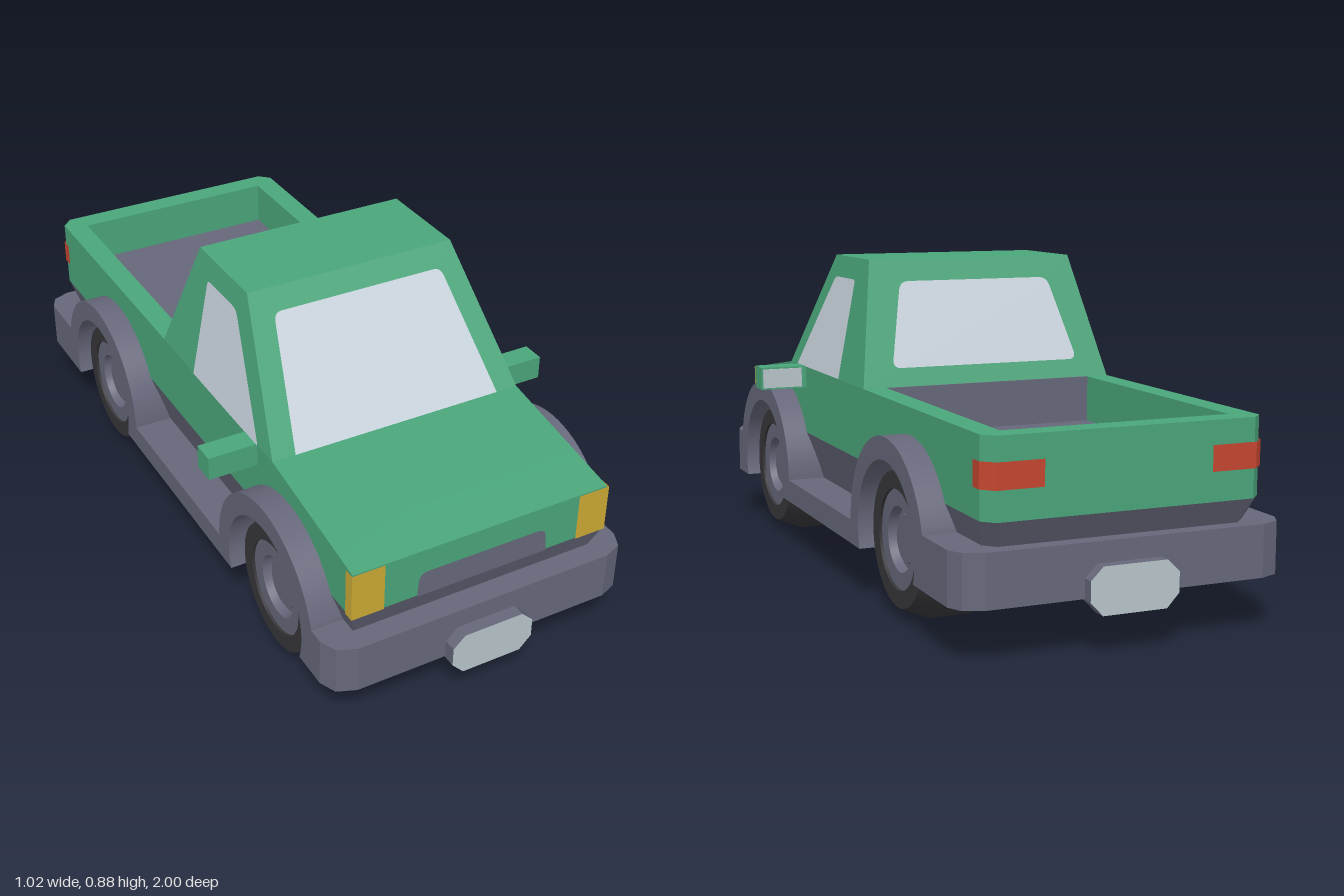
import * as THREE from 'three';
import { toCreasedNormals } from 'three/addons/utils/BufferGeometryUtils.js';

const mat = (name, color, side = THREE.FrontSide) => {
  const m = new THREE.MeshStandardMaterial({ color, side });
  m.name = name;
  return m;
};

// Mirror half a plan outline (x, z), listed front to back on +x
const sym = (half) => [...half, ...half.slice().reverse().map(([x, z]) => [-x, z])];
const rect = (x0, x1, z0, z1) => [[x1, z1], [x1, z0], [x0, z0], [x0, z1]];

function fromTriangles(pos) {
  const g = new THREE.BufferGeometry();
  g.setAttribute('position', new THREE.Float32BufferAttribute(pos, 3));
  g.computeVertexNormals();
  return g;
}

// Solid between two convex plan outlines
function loft(bottom, y0, y1, top = bottom) {
  const B = bottom.map(([x, z]) => [x, y0, z]);
  const T = top.map(([x, z]) => [x, y1, z]);
  const pos = [];
  const tri = (...p) => p.forEach((v) => pos.push(...v));
  B.forEach((b, i) => {
    const j = (i + 1) % B.length;
    tri(b, B[j], T[j]);
    tri(b, T[j], T[i]);
    if (i > 0 && j > 0) {
      tri(T[0], T[i], T[j]);
      tri(B[0], B[j], B[i]);
    }
  });
  return fromTriangles(pos);
}

// Thin painted band that wraps round a corner, just outside the body
function band(points, y0, y1, side) {
  const p = points.map(([x, z]) => [side * x * 1.01, z * 1.004]);
  const pos = [];
  for (let i = 0; i < p.length - 1; i++) {
    const [a, b] = [p[i], p[i + 1]];
    pos.push(a[0], y0, a[1], b[0], y0, b[1], b[0], y1, b[1]);
    pos.push(a[0], y0, a[1], b[0], y1, b[1], a[0], y1, a[1]);
  }
  return fromTriangles(pos);
}

// Side profile (z, y) extruded across x
const across = (shape, x0, x1) => toCreasedNormals(
  new THREE.ExtrudeGeometry(shape, { depth: x1 - x0, bevelEnabled: false, curveSegments: 24 })
    .rotateY(-Math.PI / 2).translate(x1, 0, 0), 0.5);

// Flat pane with rounded corners [u, v, radius], placed by a mapping rule
function pane(corners, place) {
  const shape = new THREE.Shape();
  corners.forEach(([u, v, r], i) => {
    const c = new THREE.Vector2(u, v);
    const toward = (k) => {
      const n = corners[(i + k + corners.length) % corners.length];
      return new THREE.Vector2(n[0], n[1]).sub(c).setLength(r).add(c);
    };
    const a = toward(-1), b = toward(1);
    if (i) shape.lineTo(a.x, a.y); else shape.moveTo(a.x, a.y);
    if (r) shape.quadraticCurveTo(u, v, b.x, b.y);
  });
  const g = new THREE.ShapeGeometry(shape, 5);
  const p = g.attributes.position;
  for (let i = 0; i < p.count; i++) p.setXYZ(i, ...place(p.getX(i), p.getY(i)));
  g.computeVertexNormals();
  return g;
}

export function createModel() {
  const green = mat('green paint', 0x4aa57a);
  const grey = mat('grey trim', 0x66677a);
  const trim = mat('grey panel', 0x66677a, THREE.DoubleSide);
  const tyre = mat('tyre rubber', 0x37373b);
  const glass = mat('glass', 0xc8d2dc, THREE.DoubleSide);
  const silver = mat('pale plate', 0xb8c5cb);
  const yellow = mat('headlight yellow', 0xcba936, THREE.DoubleSide);
  const red = mat('tail light red', 0xc4452f, THREE.DoubleSide);

  const truck = new THREE.Group();
  truck.name = 'pickupTruck';
  const add = (name, geometry, material) => {
    const m = new THREE.Mesh(geometry, material);
    m.name = name;
    truck.add(m);
    return m;
  };

  // Chassis, bumpers and tapered lower body
  add('chassis', loft(rect(-0.34, 0.34, -0.76, 0.86), 0.14, 0.205), grey);
  add('frontBumper', loft(sym([[0.37, 0.965], [0.42, 0.945], [0.44, 0.9], [0.44, 0.856]]), 0.14, 0.275), grey);
  add('rearBumper', loft(sym([[0.44, -0.756], [0.44, -0.91], [0.42, -0.95], [0.37, -0.97]]), 0.14, 0.275), grey);
  add('lowerBody', loft(
    sym([[0.33, 0.875], [0.33, -0.86], [0.3, -0.89]]), 0.205, 0.34,
    sym([[0.37, 0.93], [0.37, -0.935], [0.34, -0.965]])), grey);

  // Sills with wheel arches
  const R = 0.265, r = 0.205, up = 0.267, low = 0.3226, PI = Math.PI;
  const sill = new THREE.Shape();
  sill.moveTo(0.856, 0.14).lineTo(0.856, 0.275);
  sill.absarc(0.6, r, R, up, PI, false);
  sill.absarc(-0.5, r, R, 0, PI - up, false);
  sill.lineTo(-0.756, 0.14);
  sill.absarc(-0.5, r, r, PI + low, -low, true);
  sill.absarc(0.6, r, r, PI + low, -low, true);
  add('leftSill', across(sill, 0.33, 0.44), grey);
  add('rightSill', across(sill, -0.44, -0.33), grey);

  // Hood and door section
  const hood = new THREE.Shape([[0.93, 0.34], [0.93, 0.475], [0.52, 0.54], [-0.15, 0.54], [-0.15, 0.34]]
    .map(([z, y]) => new THREE.Vector2(z, y)));
  add('hoodAndDoors', across(hood, -0.37, 0.37), green);

  // Cab
  add('cab', loft(rect(-0.37, 0.37, -0.15, 0.52), 0.54, 0.88, rect(-0.305, 0.305, -0.02, 0.26)), green);
  const t = (y) => (y - 0.54) / 0.34;
  add('windshield', pane([[-0.305, 0.542, 0], [0.305, 0.542, 0], [0.25, 0.83, 0.02], [-0.25, 0.83, 0.02]],
    (x, y) => [x, y, 0.524 - 0.26 * t(y)]), glass);
  add('rearWindow', pane([[-0.28, 0.59, 0.025], [0.28, 0.59, 0.025], [0.225, 0.82, 0.025], [-0.225, 0.82, 0.025]],
    (x, y) => [x, y, -0.154 + 0.13 * t(y)]), glass);

  // Cargo bed
  add('bedFloor', loft(rect(-0.305, 0.305, -0.9, -0.15), 0.34, 0.413), grey);
  add('bedFrontPanel', loft(rect(-0.305, 0.305, -0.156, -0.15), 0.41, 0.54), grey);
  add('tailgate', loft(sym([[0.37, -0.9], [0.37, -0.935], [0.34, -0.965]]), 0.34, 0.54), green);

  // Grille
  add('grille', pane([[-0.19, 0.34, 0], [0.19, 0.34, 0], [0.185, 0.41, 0.025], [-0.185, 0.41, 0.025]],
    (x, y) => [x, y, 0.934]), trim);

  // Parts on both sides
  for (const s of [1, -1]) {
    const name = s > 0 ? 'left' : 'right';
    const xs = (a, b) => (s > 0 ? [a, b] : [-b, -a]);
    add(name + 'BedWall', loft(rect(...xs(0.305, 0.37), -0.9, -0.15), 0.34, 0.54), green);
    add(name + 'DoorWindow', pane([[0.445, 0.542, 0.01], [0.225, 0.82, 0.02], [0.055, 0.82, 0.015], [0.055, 0.542, 0]],
      (z, y) => [s * (0.374 - 0.065 * t(y)), y, z]), glass);
    add(name + 'Mirror', loft(rect(...xs(0.36, 0.508), 0.37, 0.435), 0.477, 0.543), green);
    add(name + 'MirrorGlass', loft(rect(...xs(0.385, 0.503), 0.366, 0.37), 0.482, 0.538), silver);
    add(name + 'Headlight', band([[0.28, 0.93], [0.37, 0.93], [0.37, 0.9]], 0.34, 0.475, s), yellow);
    add(name + 'TailLight', band([[0.37, -0.9], [0.37, -0.935], [0.34, -0.965], [0.22, -0.965]], 0.415, 0.48, s), red);
  }

  // Blank plates with clipped corners
  const plate = new THREE.Shape([[0.085, 0.103], [0.118, 0.138], [0.118, 0.19], [0.085, 0.222],
    [-0.085, 0.222], [-0.118, 0.19], [-0.118, 0.138], [-0.085, 0.103]].map((p) => new THREE.Vector2(...p)));
  const plateGeo = new THREE.ExtrudeGeometry(plate, { depth: 0.04, bevelEnabled: false }).translate(0, 0, 0.96);
  add('frontPlate', plateGeo, [silver, grey]);
  add('rearPlate', plateGeo, [silver, grey]).rotation.y = PI;

  // Wheels: tyre and hub turned about the axle
  const turned = (profile) => toCreasedNormals(
    new THREE.LatheGeometry(profile.map((p) => new THREE.Vector2(...p)), 32).rotateZ(-PI / 2), 0.4);
  const tyreGeo = turned([[0, 0.17], [0.175, 0.17], [0.205, 0.24], [0.205, 0.34], [0.175, 0.408], [0.13, 0.408], [0.13, 0.38]]);
  const hubGeo = turned([[0.13, 0.4], [0.085, 0.4], [0.08, 0.375], [0.066, 0.375], [0.062, 0.385], [0, 0.385]]);
  for (const z of [0.6, -0.5]) {
    for (const s of [1, -1]) {
      const wheel = new THREE.Group();
      wheel.name = (z > 0 ? 'front' : 'rear') + (s > 0 ? 'Left' : 'Right') + 'Wheel';
      const rubber = new THREE.Mesh(tyreGeo, tyre);
      rubber.name = 'tyre';
      const hub = new THREE.Mesh(hubGeo, grey);
      hub.name = 'hub';
      wheel.add(rubber, hub);
      wheel.position.set(0, 0.205, z);
      if (s < 0) wheel.rotation.y = PI;
      truck.add(wheel);
    }
  }
  return truck;
}
